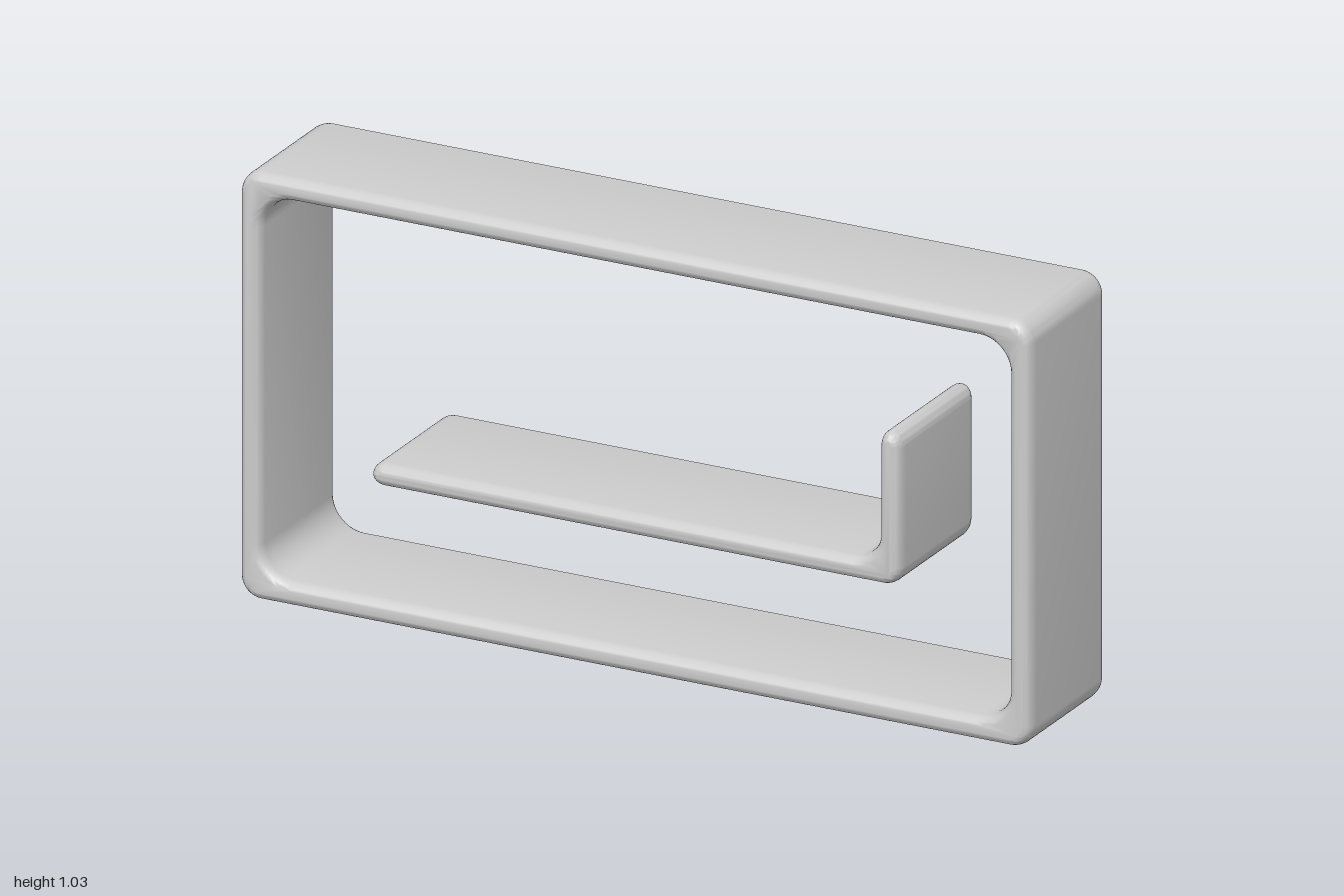
import * as THREE from 'three';
import { toCreasedNormals } from 'three/addons/utils/BufferGeometryUtils.js';

const DEPTH = 0.37, BEVEL = 0.021, BEVEL_DEPTH = 0.035;

// Closed outline through corners [x, y, radius]; radii are limited to half of each edge
function roundOutline(path, corners) {
  const n = corners.length, k = 0.45;
  corners.forEach(([x, y, r], i) => {
    const p = new THREE.Vector2(x, y);
    const toward = (c) => {
      const d = new THREE.Vector2(c[0], c[1]).sub(p);
      const length = Math.min(r, d.length() * 0.49);
      return d.setLength(length);
    };
    const a = toward(corners[(i + n - 1) % n]), b = toward(corners[(i + 1) % n]);
    if (i === 0) path.moveTo(x + a.x, y + a.y);
    else path.lineTo(x + a.x, y + a.y);
    path.bezierCurveTo(x + a.x * k, y + a.y * k, x + b.x * k, y + b.y * k, x + b.x, y + b.y);
  });
  path.closePath();
  return path;
}

function rectangle(x, y0, y1, r) {
  return [[-x, y0, r], [x, y0, r], [x, y1, r], [-x, y1, r]];
}

// Soft-edged board centred on z = 0
function softExtrude(shape, material, name) {
  const geometry = new THREE.ExtrudeGeometry(shape, {
    depth: DEPTH - 2 * BEVEL_DEPTH, curveSegments: 10, bevelSegments: 6,
    bevelSize: BEVEL, bevelOffset: -BEVEL, bevelThickness: BEVEL_DEPTH,
  });
  geometry.translate(0, 0, -DEPTH / 2 + BEVEL_DEPTH);
  const mesh = new THREE.Mesh(toCreasedNormals(geometry, 0.7), material);
  mesh.name = name;
  return mesh;
}

export function createModel() {
  const group = new THREE.Group();
  group.name = 'wallShelf';
  const grey = new THREE.MeshStandardMaterial({ color: 0xcccccc });
  grey.name = 'light grey';

  // Outer rectangular frame
  const frame = roundOutline(new THREE.Shape(), rectangle(1, 0, 1.03, 0.055));
  frame.holes.push(roundOutline(new THREE.Path(), rectangle(0.943, 0.06, 0.973, 0.075)));
  group.add(softExtrude(frame, grey, 'outerFrame'));

  // Inner L-shaped shelf with an upright on the +x end
  const shelf = roundOutline(new THREE.Shape(), [
    [-0.668, 0.33, 0.035], [0.67, 0.33, 0.045], [0.67, 0.7, 0.035],
    [0.615, 0.7, 0.035], [0.615, 0.386, 0.065], [-0.668, 0.386, 0.035],
  ]);
  group.add(softExtrude(shelf, grey, 'innerShelf'));

  return group;
}
